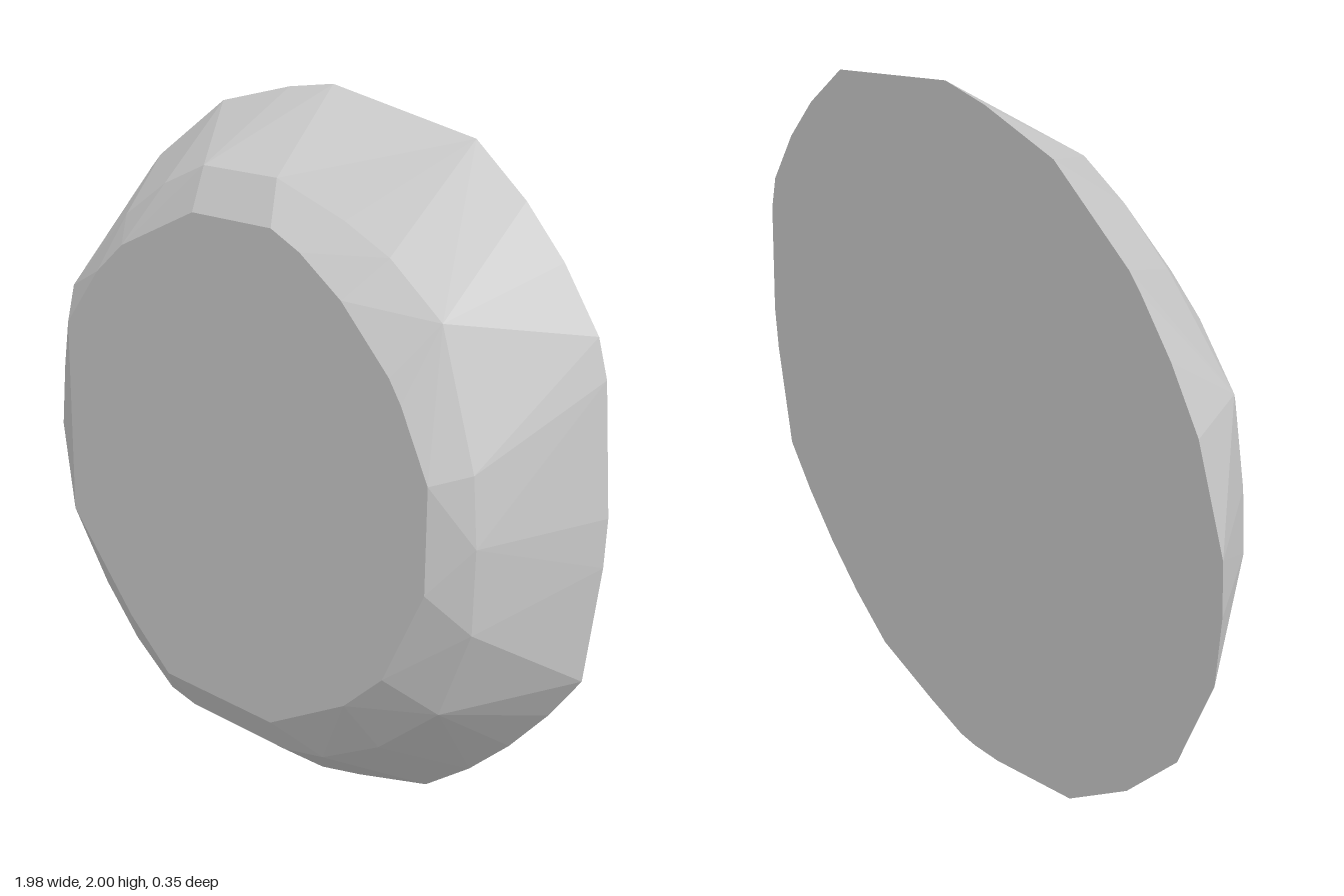
import * as THREE from 'three';
import { ConvexGeometry } from 'three/addons/geometries/ConvexGeometry.js';

// Outlines as [x, y], clockwise from the top
const BACK_RIM = [
  [0.06, 2.0], [0.54, 1.91], [0.7, 1.78], [0.82, 1.65], [0.93, 1.49], [0.96, 1.39], [0.99, 1.05],
  [0.985, 0.92], [0.945, 0.6], [0.85, 0.47], [0.73, 0.335], [0.6, 0.215], [0.45, 0.105], [0.2, 0.035],
  [0.05, 0], [-0.02, 0], [-0.13, 0.015], [-0.46, 0.1], [-0.69, 0.285], [-0.87, 0.5], [-0.98, 0.8],
  [-0.99, 1.0], [-0.98, 1.15], [-0.88, 1.42], [-0.78, 1.57], [-0.67, 1.7], [-0.63, 1.74], [-0.36, 1.92],
  [-0.1, 1.98],
];
const SHOULDER = [
  [-0.13, 1.8], [0.14, 1.8], [0.36, 1.72], [0.5, 1.65], [0.67, 1.52], [0.7, 1.42], [0.8, 1.18],
  [0.82, 1.0], [0.81, 0.77], [0.7, 0.51], [0.6, 0.45], [0.5, 0.34], [0.31, 0.24], [0.17, 0.215],
  [-0.2, 0.215], [-0.31, 0.23], [-0.48, 0.33], [-0.62, 0.47], [-0.7, 0.62], [-0.75, 0.78],
  [-0.77, 0.95], [-0.755, 1.13], [-0.72, 1.38], [-0.61, 1.49], [-0.48, 1.62], [-0.3, 1.73],
];
const FRONT_FACE = [
  [-0.1, 1.69], [0.19, 1.69], [0.29, 1.645], [0.43, 1.55], [0.59, 1.39], [0.63, 1.33], [0.72, 1.15],
  [0.72, 0.87], [0.59, 0.6], [0.46, 0.48], [0.19, 0.33], [-0.23, 0.33], [-0.39, 0.46], [-0.64, 0.73],
  [-0.64, 1.3], [-0.5, 1.47], [-0.39, 1.56],
];

// Places an outline in depth
const ring = (outline, depth) =>
  outline.map(([x, y]) => new THREE.Vector3(x, y, depth(x, y)));

// The shoulder sinks a little on the diagonals
const shoulderDepth = (x, y) => 0.11 - 0.03 * Math.sin(2 * Math.atan2(y - 1, x)) ** 2;

export function createModel() {
  const group = new THREE.Group();
  group.name = 'facetedDisc';

  const grey = new THREE.MeshStandardMaterial({ color: 0xcccccc });
  grey.name = 'grey';

  // Chipped stone disc: flat back, sloping sides, bevelled flat front
  const disc = new THREE.Mesh(
    new ConvexGeometry([
      ...ring(BACK_RIM, () => -0.177),
      ...ring(SHOULDER, shoulderDepth),
      ...ring(FRONT_FACE, () => 0.177),
    ]),
    grey
  );
  disc.name = 'discBody';
  group.add(disc);
  return group;
}
